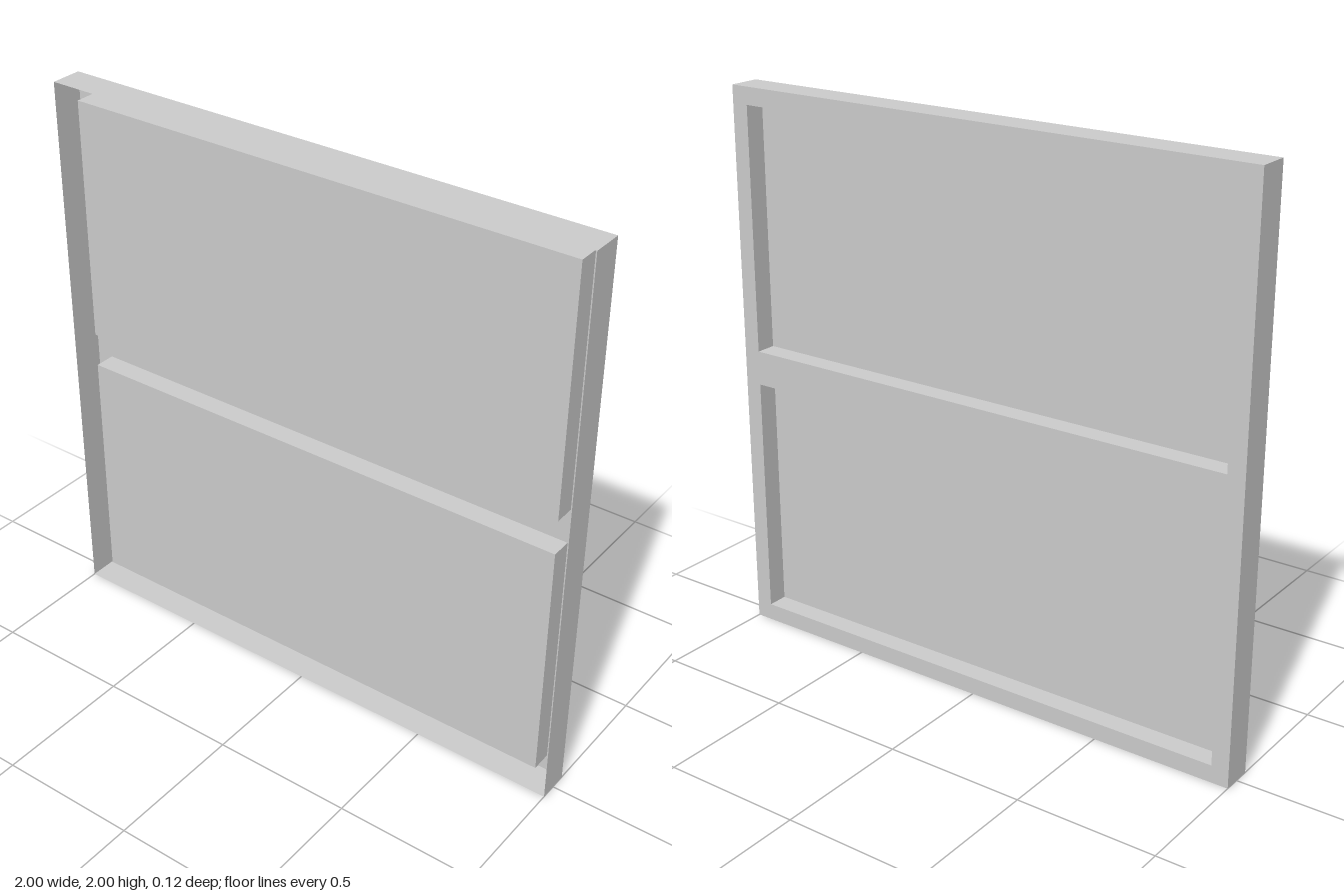
import * as THREE from 'three';
import { mergeGeometries } from 'three/addons/utils/BufferGeometryUtils.js';

const material = new THREE.MeshStandardMaterial({ color: 0xcccccc, side: THREE.DoubleSide, flatShading: true });

const BACK = -0.0575, FRONT = 0.0575; // overall depth
const PANEL_FRONT = BACK + 0.075;     // front of the raised panels
const PANEL_W = 1.876, PANEL_H = 0.876;
const PANEL_Y = [0.5, 1.5];

function addMesh(group, name, geometry) {
  const mesh = new THREE.Mesh(geometry, material);
  mesh.name = name;
  group.add(mesh);
}

// Four thin walls around a rectangle, facing outwards
function rim(w, h, y, z0, z1) {
  const d = z1 - z0, z = (z0 + z1) / 2, walls = [];
  for (const s of [-1, 1]) {
    walls.push(new THREE.PlaneGeometry(d, h).rotateY(s * Math.PI / 2).translate(s * w / 2, y, z));
    walls.push(new THREE.PlaneGeometry(w, d).rotateX(-s * Math.PI / 2).translate(0, y + s * h / 2, z));
  }
  return mergeGeometries(walls);
}

function rectangle(path, w, h, y) {
  path.moveTo(-w / 2, y - h / 2);
  path.lineTo(w / 2, y - h / 2);
  path.lineTo(w / 2, y + h / 2);
  path.lineTo(-w / 2, y + h / 2);
  path.closePath();
  return path;
}

export function createModel() {
  const group = new THREE.Group();
  group.name = 'twoPanelTray';

  // Outer walls, open towards the front
  addMesh(group, 'outerRim', rim(2, 2, 1, BACK, FRONT));

  // Flat back frame with two openings
  const frame = rectangle(new THREE.Shape(), 2, 2, 1);
  for (const y of PANEL_Y) frame.holes.push(rectangle(new THREE.Path(), PANEL_W, PANEL_H, y));
  addMesh(group, 'backFrame', new THREE.ShapeGeometry(frame).translate(0, 0, BACK));

  // Panels pressed forward, leaving recesses in the back
  PANEL_Y.forEach((y, i) => {
    const panel = new THREE.Group();
    panel.name = i ? 'upperPanel' : 'lowerPanel';
    addMesh(panel, 'panelSides', rim(PANEL_W, PANEL_H, y, BACK, PANEL_FRONT));
    addMesh(panel, 'panelFace', new THREE.PlaneGeometry(PANEL_W, PANEL_H).translate(0, y, PANEL_FRONT));
    group.add(panel);
  });
  return group;
}
